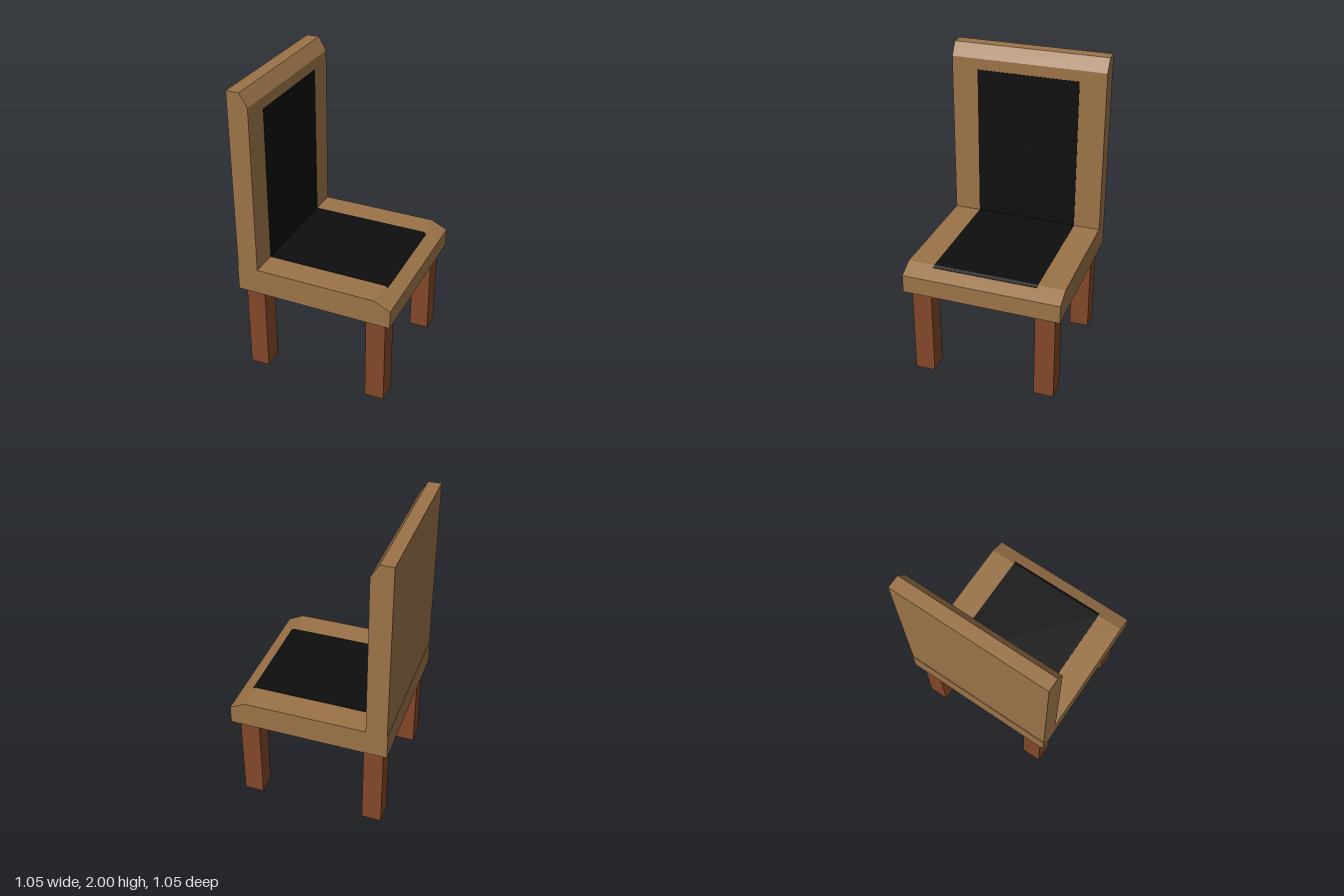
import * as THREE from 'three';

const wood = new THREE.MeshStandardMaterial({ color: 0x9a7247 });
wood.name = 'light wood';
const darkWood = new THREE.MeshStandardMaterial({ color: 0x814728 });
darkWood.name = 'red brown wood';
const black = new THREE.MeshStandardMaterial({ color: 0x0e0e0e });
black.name = 'black upholstery';

// Side profile in x/y, extruded across the chair's width in z
function slab(name, points, width, material) {
  const shape = new THREE.Shape(points.map(([x, y]) => new THREE.Vector2(x, y)));
  const geometry = new THREE.ExtrudeGeometry(shape, { depth: width, bevelEnabled: false });
  geometry.translate(0, 0, -width / 2);
  const mesh = new THREE.Mesh(geometry, material);
  mesh.name = name;
  return mesh;
}

export function createModel() {
  const chair = new THREE.Group();
  chair.name = 'chair';

  // Seat with a chamfered front edge
  chair.add(slab('seat', [
    [-0.527, 0.62], [0.527, 0.62], [0.527, 0.742], [0.42, 0.795], [-0.527, 0.795],
  ], 1.054, wood));

  // Backrest with a chamfered top edge
  chair.add(slab('backrest', [
    [-0.523, 0.795], [-0.385, 0.795], [-0.385, 1.913], [-0.437, 2], [-0.523, 2],
  ], 1.054, wood));

  // Thin upholstery; the seat pad folds slightly over the chamfer
  chair.add(slab('seatPad', [
    [-0.385, 0.793], [0.42, 0.793], [0.44, 0.783], [0.44, 0.788], [0.42, 0.798], [-0.385, 0.798],
  ], 0.696, black));
  chair.add(slab('backPad', [
    [-0.387, 0.795], [-0.382, 0.795], [-0.382, 1.838], [-0.387, 1.838],
  ], 0.696, black));

  // Four square legs
  const legGeometry = new THREE.BoxGeometry(0.131, 0.62, 0.134);
  for (const [end, x] of [['back', -0.428], ['front', 0.416]]) {
    for (const [side, z] of [['Right', 0.418], ['Left', -0.418]]) {
      const leg = new THREE.Mesh(legGeometry, darkWood);
      leg.name = `${end}${side}Leg`;
      leg.position.set(x, 0.31, z);
      chair.add(leg);
    }
  }
  return chair;
}
